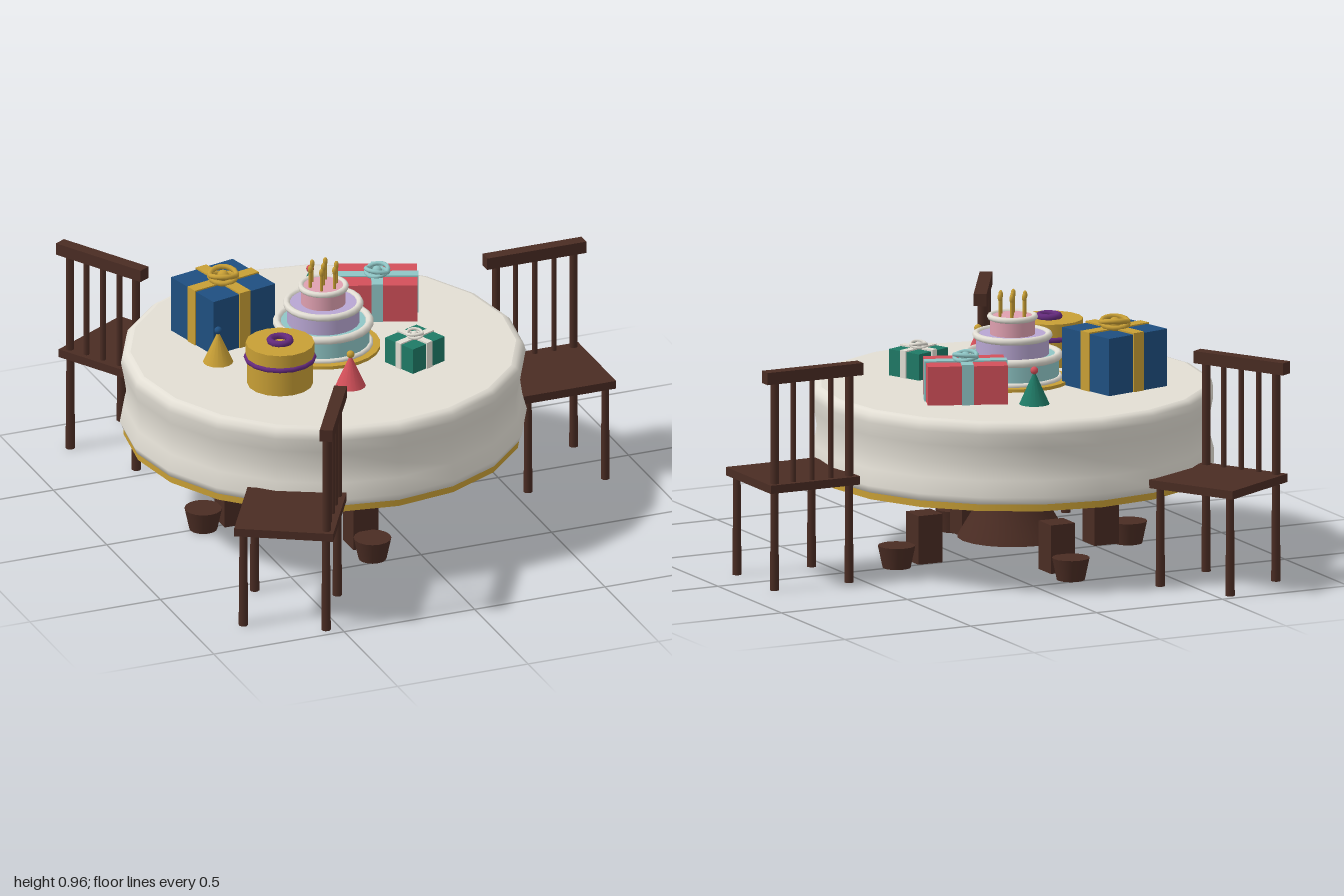
import * as THREE from 'three';

const mat = (name, color) => {
  const m = new THREE.MeshStandardMaterial({ color });
  m.name = name;
  return m;
};
const brown = mat('dark wood', 0x4a2c23), cream = mat('cream', 0xe2ded4), gold = mat('gold', 0xc89f35),
  teal = mat('pale teal', 0x8fc6c6), pink = mat('pink', 0xdfa0b0), lavender = mat('lavender', 0xb8a6d2),
  red = mat('red', 0xd4505a), blue = mat('blue', 0x1f4f80), green = mat('green', 0x1f7a66),
  purple = mat('purple', 0x642a7c);

const TOP = 0.632; // height of the table top
const CX = -0.17; // x of the table centre

function add(parent, name, geo, material, x = 0, y = 0, z = 0) {
  const m = new THREE.Mesh(geo, material);
  m.name = name;
  m.position.set(x, y, z);
  parent.add(m);
  return m;
}
function group(parent, name, x = 0, y = 0, z = 0, turn = 0) {
  const g = new THREE.Group();
  g.name = name;
  g.position.set(x, y, z);
  g.rotation.y = turn;
  parent.add(g);
  return g;
}
const box = (w, h, d) => new THREE.BoxGeometry(w, h, d);
const cyl = (rTop, rBottom, h, n = 20) => new THREE.CylinderGeometry(rTop, rBottom, h, n);
const ring = (r, tube, n = 24) => new THREE.TorusGeometry(r, tube, 8, n).rotateX(Math.PI / 2);
const lathe = (pts, n) => new THREE.LatheGeometry(pts.map(([r, y]) => new THREE.Vector2(r, y)), n);

function buildTable(root) {
  const table = group(root, 'table', CX);
  // Draped cloth with a slightly pinched side
  add(table, 'clothSide', lathe([[0.695, 0.333], [0.713, 0.335], [0.724, 0.362], [0.708, 0.42], [0.7, 0.475],
    [0.71, 0.54], [0.72, 0.59], [0.714, 0.615], [0.7, 0.628], [0.685, TOP]], 20), cream);
  add(table, 'clothTop', new THREE.CircleGeometry(0.686, 20).rotateX(-Math.PI / 2), cream, 0, TOP);
  add(table, 'goldHem', cyl(0.71, 0.71, 0.026), gold, 0, 0.323);
  // Flared pedestal
  add(table, 'pedestal', lathe([[0.197, 0.07], [0.185, 0.092], [0.15, 0.15], [0.115, 0.22], [0.085, 0.312]], 20), brown);
  add(table, 'pedestalBase', new THREE.CircleGeometry(0.197, 20).rotateX(Math.PI / 2), brown, 0, 0.07);
  // Four feet
  for (let i = 0; i < 4; i++) {
    const foot = group(table, 'foot', 0, 0, 0, i * Math.PI / 2);
    add(foot, 'footBlock', box(0.096, 0.176, 0.096), brown, 0.35, 0.1, 0);
    add(foot, 'footCup', cyl(0.067, 0.05, 0.08, 16), brown, 0.46, 0.04, 0);
  }
}

function buildChair(root, turn) {
  const pivot = group(root, 'chairPlace', CX, 0, 0, turn);
  const chair = group(pivot, 'chair', 0.872, 0, 0);
  add(chair, 'seat', box(0.355, 0.03, 0.355), brown, 0, 0.372, 0);
  for (const x of [-0.148, 0.148]) {
    for (const z of [-0.148, 0.148]) add(chair, 'leg', cyl(0.014, 0.017, 0.36, 8), brown, x, 0.18, z);
    add(chair, 'backPost', cyl(0.015, 0.015, 0.38, 8), brown, x, 0.57, -0.15);
  }
  for (const x of [-0.074, 0, 0.074]) add(chair, 'spindle', cyl(0.01, 0.01, 0.38, 8), brown, x, 0.57, -0.15);
  add(chair, 'topRail', box(0.38, 0.044, 0.046), brown, 0, 0.775, -0.154);
}

function buildCake(root) {
  const cake = group(root, 'cake', CX, TOP, 0);
  add(cake, 'cakePlate', cyl(0.203, 0.203, 0.012, 24), gold, 0, 0.006);
  // Tiers: radius, bottom, top, icing thickness, colour
  const tiers = [[0.165, 0.01, 0.1, 0.015, teal], [0.13, 0.1, 0.172, 0.013, lavender], [0.08, 0.172, 0.238, 0.011, pink]];
  for (const [r, y0, y1, tube, m] of tiers) {
    add(cake, 'tier', cyl(r, r, y1 - y0, 24), m, 0, (y0 + y1) / 2);
    add(cake, 'icingRing', ring(r, tube), cream, 0, y1 - 0.004);
  }
  add(cake, 'lowerIcing', ring(0.168, 0.01), cream, 0, 0.016);
  // One central candle and six around it
  for (let i = 0; i < 7; i++) {
    const r = i ? 0.05 : 0, a = i * Math.PI / 3;
    const candle = group(cake, 'candle', r * Math.cos(a), 0.238, r * Math.sin(a));
    add(candle, 'stick', cyl(0.006, 0.006, 0.06, 8), gold, 0, 0.03);
    add(candle, 'flame', new THREE.SphereGeometry(0.009, 8, 6).scale(1, 1.8, 1), gold, 0, 0.069);
  }
}

// Two tilted loops around a knot
function buildBow(parent, y, r, material) {
  const bow = group(parent, 'bow', 0, y, 0);
  for (const s of [-1, 1]) {
    const loop = add(bow, 'bowLoop', ring(r, r * 0.2, 16), material, 0, r * 0.35, 0);
    loop.rotation.set(s * 0.22, 0, s * 0.15);
  }
  add(bow, 'bowKnot', new THREE.SphereGeometry(r * 0.45, 10, 8), material, 0, r * 0.3, 0);
}

function buildGift(root, name, x, z, turn, w, h, d, ribbon, bowR, paper, trim) {
  const gift = group(root, name, x, TOP, z, turn);
  add(gift, 'giftBox', box(w, h, d), paper, 0, h / 2);
  add(gift, 'ribbonAcross', box(w + 0.01, h + 0.005, ribbon), trim, 0, h / 2 + 0.0025);
  add(gift, 'ribbonAlong', box(ribbon, h + 0.006, d + 0.01), trim, 0, h / 2 + 0.003);
  buildBow(gift, h + 0.004, bowR, trim);
}

function buildRoundGift(root) {
  const gift = group(root, 'roundGift', -0.43, TOP, 0.23);
  add(gift, 'giftDrum', cyl(0.117, 0.117, 0.11, 16), gold, 0, 0.055);
  add(gift, 'giftLid', cyl(0.122, 0.122, 0.058, 16), gold, 0, 0.13);
  add(gift, 'giftBand', ring(0.12, 0.01, 16), purple, 0, 0.102);
  add(gift, 'giftBow', ring(0.036, 0.013, 12), purple, 0, 0.166);
}

function buildHat(root, x, z, coneMat, ballMat) {
  const hat = group(root, 'partyHat', x, TOP, z);
  add(hat, 'hatCone', new THREE.ConeGeometry(0.054, 0.12, 16), coneMat, 0, 0.06);
  add(hat, 'hatBall', new THREE.SphereGeometry(0.014, 12, 8), ballMat, 0, 0.121);
}

export function createModel() {
  const root = new THREE.Group();
  root.name = 'partyTable';
  buildTable(root);
  for (let i = 0; i < 3; i++) buildChair(root, i * Math.PI * 2 / 3);
  buildCake(root);
  buildGift(root, 'blueGift', -0.46, -0.23, 0.23, 0.268, 0.208, 0.26, 0.046, 0.048, blue, gold);
  buildGift(root, 'redGift', 0.12, -0.205, -0.38, 0.285, 0.14, 0.188, 0.042, 0.04, red, teal);
  buildGift(root, 'greenGift', 0.08, 0.245, 0.39, 0.158, 0.095, 0.142, 0.026, 0.028, green, cream);
  buildRoundGift(root);
  buildHat(root, -0.565, -0.02, gold, blue);
  buildHat(root, -0.207, 0.345, red, gold);
  buildHat(root, -0.065, -0.38, green, red);
  return root;
}
